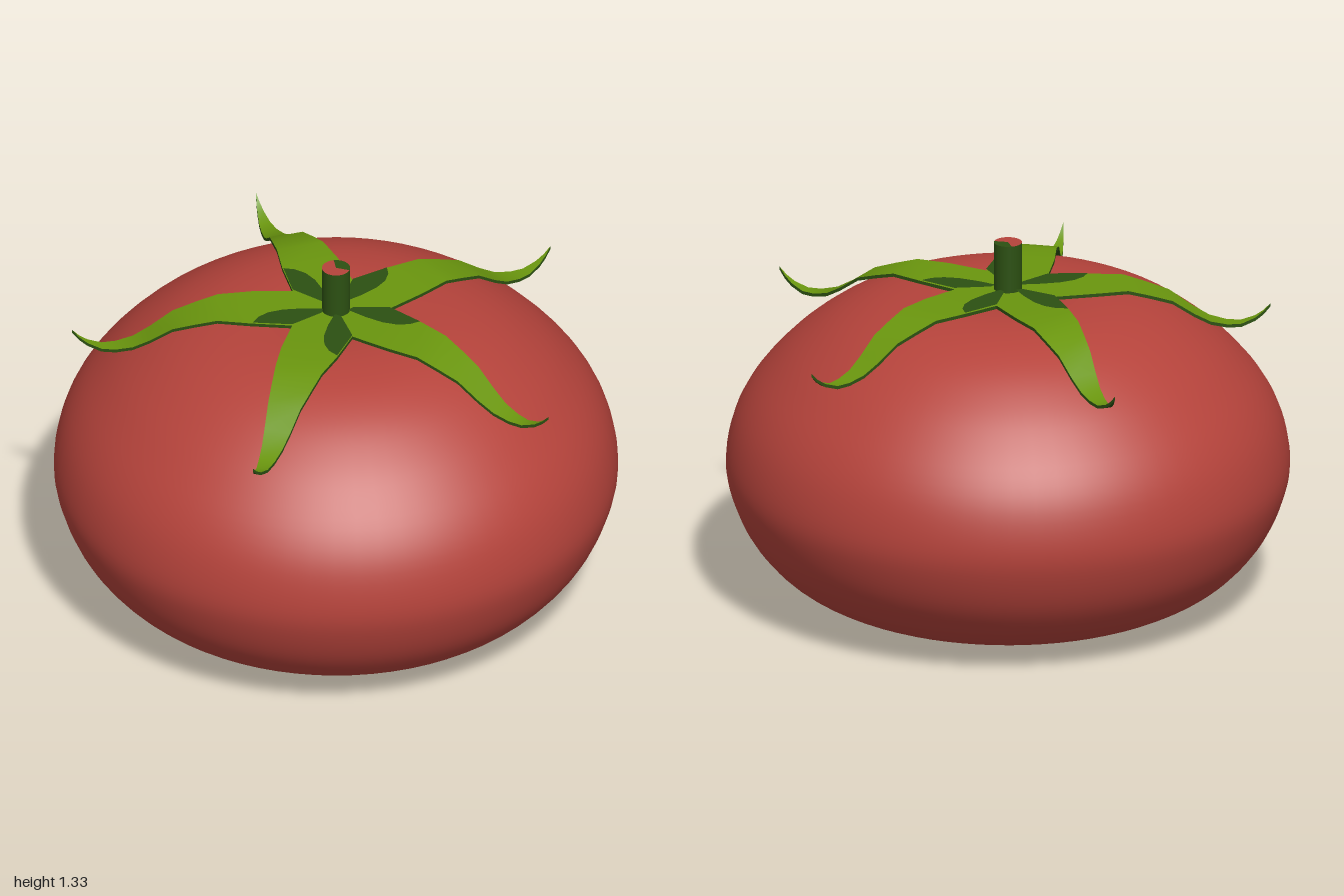
import * as THREE from 'three';

const paint = (name, color) => {
  const m = new THREE.MeshStandardMaterial({ color });
  m.name = name;
  return m;
};

const part = (name, geometry, material) => {
  const mesh = new THREE.Mesh(geometry, material);
  mesh.name = name;
  return mesh;
};

// Sepal cross-sections: distance from the stem, height, half width
const SEPAL = [
  [0, 1.158, 0], [0.154, 1.163, 0.112], [0.3, 1.166, 0.104], [0.42, 1.165, 0.086],
  [0.5, 1.14, 0.074], [0.58, 1.112, 0.061], [0.66, 1.055, 0.048], [0.72, 1.02, 0.038],
  [0.78, 1.004, 0.029], [0.83, 1.002, 0.021], [0.88, 1.02, 0.012], [0.91, 1.041, 0.006], [0.935, 1.068, 0],
];
const THICK = 0.012;

function sepalGeometry(faces) {
  const pos = [], index = [];
  const quad = (a, b, c, d) => index.push(a, b, c, a, c, d);
  // Each section: top -z, top +z, bottom -z, bottom +z
  SEPAL.forEach(([r, y, w]) => {
    for (const h of [y, y - THICK]) pos.push(r, h, -w, r, h, w);
  });
  for (let i = 0; i < SEPAL.length - 1; i++) {
    const a = i * 4, b = a + 4;
    if (faces === 'top') {
      quad(a, a + 1, b + 1, b);
    } else {
      quad(a + 2, b + 2, b + 3, a + 3);
      if (i > 0) {
        quad(a + 1, a + 3, b + 3, b + 1);
        quad(a, b, b + 2, a + 2);
      }
    }
  }
  let g = new THREE.BufferGeometry();
  g.setAttribute('position', new THREE.Float32BufferAttribute(pos, 3));
  g.setIndex(index);
  if (faces !== 'top') g = g.toNonIndexed();
  g.computeVertexNormals();
  return g;
}

export function createModel() {
  const red = paint('tomato red', 0xb5433b);
  const leafGreen = paint('leaf green', 0x6a960e);
  const darkGreen = paint('dark green', 0x2c5012);
  const model = new THREE.Group();
  model.name = 'tomato';

  // Fruit: squat round body, dimpled above and below
  const profile = new THREE.SplineCurve([
    [0, 0.05], [0.12, 0.035], [0.28, 0.008], [0.42, 0.005], [0.56, 0.025], [0.7, 0.073],
    [0.82, 0.15], [0.92, 0.267], [0.98, 0.4], [1, 0.52], [0.973, 0.665], [0.91, 0.79],
    [0.81, 0.908], [0.71, 0.995], [0.6, 1.066], [0.48, 1.116], [0.36, 1.141], [0.24, 1.147],
    [0.1, 1.135], [0, 1.125],
  ].map(([x, y]) => new THREE.Vector2(x, y))).getPoints(80);
  profile.forEach((p) => { p.x = Math.max(p.x, 0); });
  model.add(part('fruit', new THREE.LatheGeometry(profile, 72), red));

  // Crown of five curling sepals, each with a dark patch near the stem
  const top = sepalGeometry('top');
  const under = sepalGeometry('under');
  const patch = new THREE.ShapeGeometry(new THREE.Shape([
    [0.045, 0.01], [0.12, 0.01], [0.19, 0.018], [0.24, 0.036], [0.275, 0.065],
    [0.295, 0.102], [0.2, 0.109], [0.154, 0.112], [0.05, 0.036],
  ].map(([x, y]) => new THREE.Vector2(x, y))));
  patch.rotateX(-Math.PI / 2);
  patch.translate(0, 1.169, 0);
  for (let i = 0; i < 5; i++) {
    const sepal = new THREE.Group();
    sepal.name = 'sepal';
    sepal.add(part('sepalTop', top, leafGreen), part('sepalUnderside', under, darkGreen),
      part('sepalPatch', patch, darkGreen));
    sepal.rotation.y = Math.PI + (i * Math.PI * 2) / 5;
    model.add(sepal);
  }

  // Stem with a cut end in two colours
  const stem = part('stem', new THREE.CylinderGeometry(0.05, 0.05, 0.195, 20, 1, true), darkGreen);
  stem.position.y = 1.2375;
  model.add(stem);
  const cut = (name, start, length, material) => {
    const end = part(name, new THREE.CircleGeometry(0.05, 16, start, length), material);
    end.rotation.x = -Math.PI / 2;
    end.position.y = 1.335;
    model.add(end);
  };
  const wedge = Math.PI * 0.65;
  cut('stemEndGreen', -0.3, wedge, darkGreen);
  cut('stemEndRed', -0.3 + wedge, Math.PI * 2 - wedge, red);
  return model;
}
